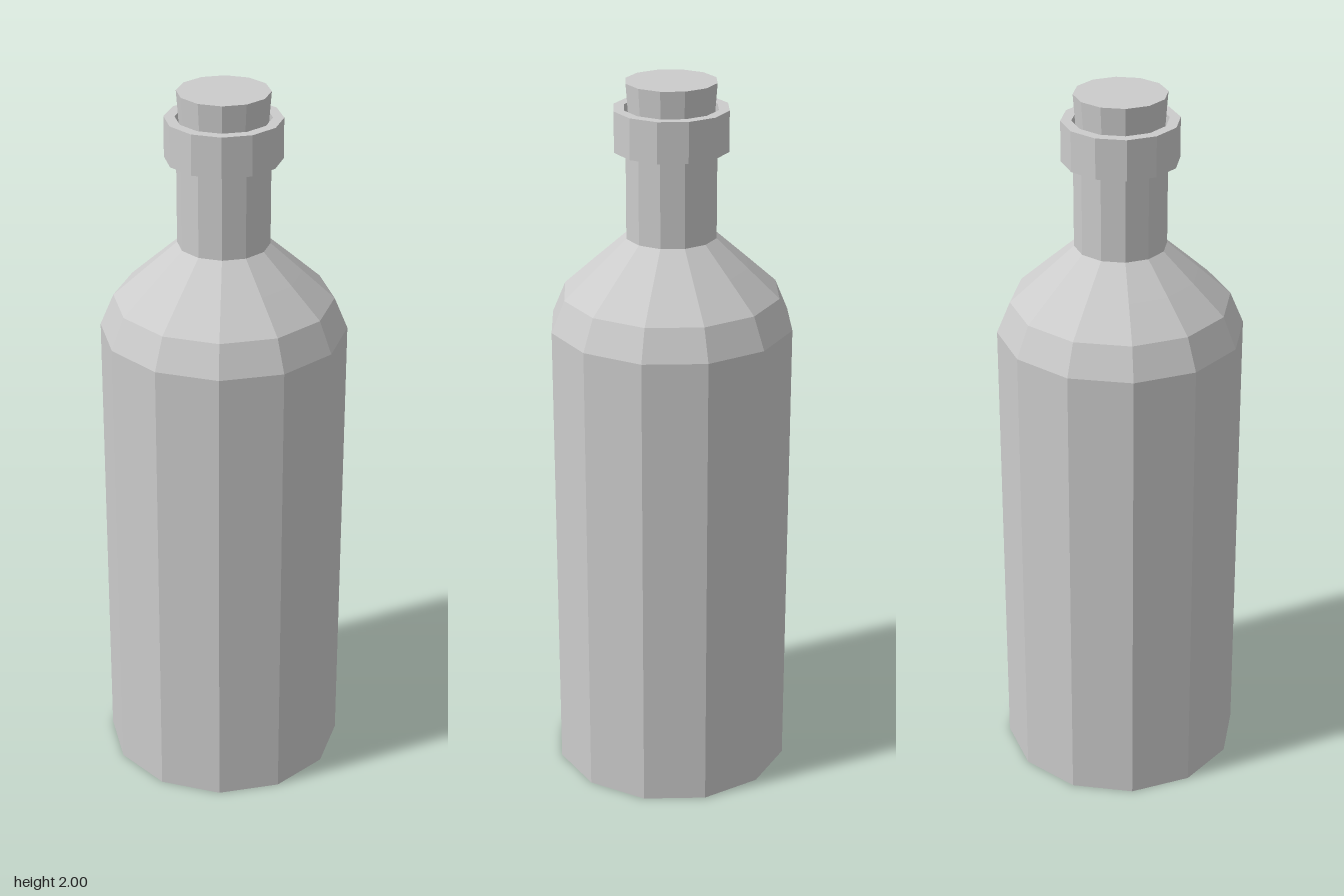
import * as THREE from 'three';

const SIDES = 12;

export function createModel() {
  const group = new THREE.Group();
  const material = new THREE.MeshStandardMaterial({ color: 0xcccccc, flatShading: true });

  // Turn a [radius, height] profile, listed from bottom to top, into a faceted part
  const turn = (name, profile) => {
    const points = profile.map(([r, y]) => new THREE.Vector2(r, y));
    const mesh = new THREE.Mesh(new THREE.LatheGeometry(points, SIDES), material);
    mesh.name = name;
    group.add(mesh);
  };

  // Closed base, straight wall, sloping shoulder
  turn('body', [[0, 0], [0.337, 0], [0.337, 1.332], [0.3, 1.42], [0.212, 1.5], [0.125, 1.578]]);

  // Straight neck
  turn('neck', [[0.125, 1.578], [0.125, 1.83]]);

  // Collar around the mouth, with a recess for the stopper
  turn('collar', [[0.12, 1.818], [0.157, 1.818], [0.157, 1.929], [0.128, 1.929], [0.128, 1.84], [0, 1.84]]);

  // Stopper, tapering slightly downwards
  turn('stopper', [[0.112, 1.84], [0.124, 2], [0, 2]]);

  return group;
}
